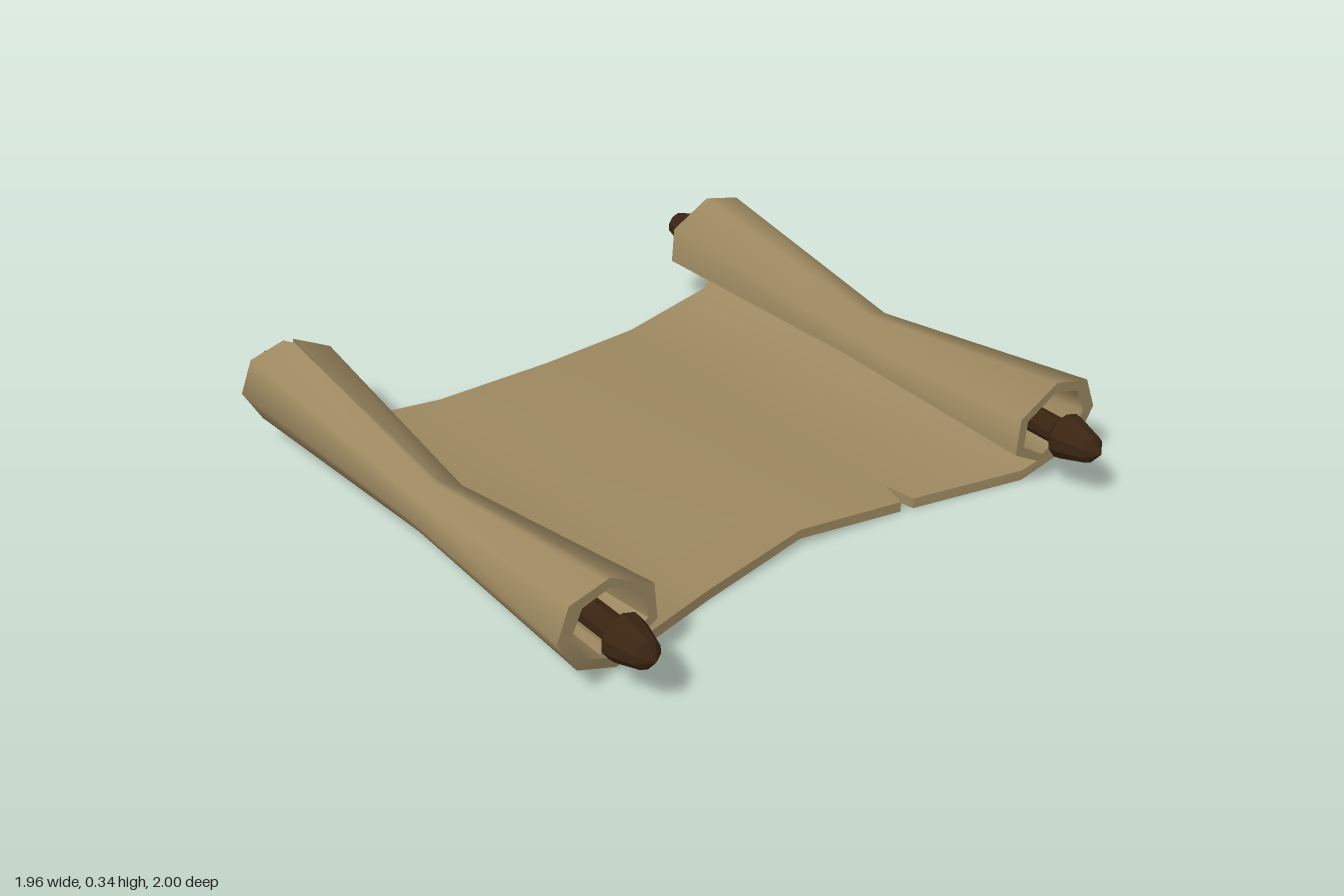
import * as THREE from 'three';
import { toCreasedNormals } from 'three/addons/utils/BufferGeometryUtils.js';

const parchmentMat = new THREE.MeshStandardMaterial({ color: 0x9c8860 });
parchmentMat.name = 'parchment';
const woodMat = new THREE.MeshStandardMaterial({ color: 0x3a2412, flatShading: true });
woodMat.name = 'darkWood';

// Half of the rolled sheet, from the loose end in the coil to the middle:
// outer x, outer y, inner x, inner y, half length in z
const HALF = [
  [0.845, 0.115, 0.83, 0.14, 0.81],
  [0.775, 0.085, 0.775, 0.113, 0.81],
  [0.66, 0.15, 0.69, 0.165, 0.81],
  [0.67, 0.265, 0.70, 0.25, 0.81],
  [0.81, 0.34, 0.81, 0.31, 0.81],
  [0.94, 0.307, 0.90, 0.283, 0.81],
  [0.98, 0.205, 0.935, 0.205, 0.81],
  [0.92, 0.10, 0.89, 0.12, 0.81],
  [0.755, 0.004, 0.755, 0.037, 0.755],
  [0.375, 0.004, 0.375, 0.037, 0.667],
];

// The rolls narrow towards the middle of their length
function pinch(x, y, side) {
  const k = 0.59;
  return [side * (0.815 + (x - 0.815) * k), 0.07 + (y - 0.07) * k];
}

function station([ox, oy, ix, iy, z], side, isRoll) {
  return {
    o: [side * ox, oy], i: [side * ix, iy],
    om: isRoll ? pinch(ox, oy, side) : [side * ox, oy],
    im: isRoll ? pinch(ix, iy, side) : [side * ix, iy],
    front: z, back: -z,
  };
}

function blend(a, b, t) {
  const mix = (p, q) => p.map((v, n) => v + (q[n] - v) * t);
  const num = (p, q) => p + (q - p) * t;
  return {
    o: mix(a.o, b.o), i: mix(a.i, b.i), om: mix(a.om, b.om), im: mix(a.im, b.im),
    front: num(a.front, b.front), back: num(a.back, b.back),
  };
}

function makeParchment() {
  const left = HALF.map((h, n) => station(h, -1, n < 8));
  const right = HALF.map((h, n) => station(h, 1, n < 8)).reverse();
  const centre = station([0, 0.03, 0, 0.06, 0.62], 1, false);

  // Small nick in the back end of one roll
  const nick = { ...left[4], back: -0.765 };
  left.splice(4, 1, blend(left[4], left[3], 0.12), nick, blend(left[4], left[5], 0.12));

  // Tear in the front edge of the sheet
  const tear = { ...right[0], front: 0.57 };
  const tearLeft = blend(right[0], centre, 0.07);
  const tearRight = blend(right[0], right[1], 0.045);
  right.splice(0, 1, tearLeft, tear, tearRight);

  const rows = [...left, centre, ...right].map((s) => ({
    top: [[...s.i, s.back], [...s.im, 0], [...s.i, s.front]],
    low: [[...s.o, s.back], [...s.om, 0], [...s.o, s.front]],
  }));

  const pos = [];
  const quad = (a, b, c, d) => pos.push(...a, ...b, ...c, ...a, ...c, ...d);
  for (let n = 0; n < rows.length - 1; n++) {
    const a = rows[n], b = rows[n + 1];
    for (let k = 0; k < 2; k++) {
      quad(a.top[k], a.top[k + 1], b.top[k + 1], b.top[k]);
      quad(a.low[k], b.low[k], b.low[k + 1], a.low[k + 1]);
    }
    quad(a.low[2], b.low[2], b.top[2], a.top[2]);
    quad(a.low[0], a.top[0], b.top[0], b.low[0]);
  }
  // Loose ends inside the coils
  const s = rows[0], e = rows[rows.length - 1];
  for (let k = 0; k < 2; k++) {
    quad(s.low[k], s.low[k + 1], s.top[k + 1], s.top[k]);
    quad(e.low[k], e.top[k], e.top[k + 1], e.low[k + 1]);
  }
  const geo = new THREE.BufferGeometry();
  geo.setAttribute('position', new THREE.Float32BufferAttribute(pos, 3));
  const mesh = new THREE.Mesh(toCreasedNormals(geo, 1.1), parchmentMat);
  mesh.name = 'parchmentSheet';
  return mesh;
}

// Turned rod with a pointed knob at each end, thinner inside the narrow roll
function makeRod(side) {
  const end = [[0.02, 0.3], [0.04, 0.7], [0.04, 0.83], [0.07, 0.858], [0.067, 0.88], [0.042, 0.965], [0, 1]];
  const profile = [
    ...end.map(([r, z]) => new THREE.Vector2(r, -z)).reverse(),
    ...end.map(([r, z]) => new THREE.Vector2(r, z)),
  ];
  const geo = new THREE.LatheGeometry(profile, 10);
  geo.rotateX(Math.PI / 2);
  const rod = new THREE.Mesh(geo, woodMat);
  rod.position.set(side * 0.81, 0.187, 0);
  rod.name = side > 0 ? 'leftRod' : 'rightRod';
  return rod;
}

export function createModel() {
  const model = new THREE.Group();
  model.name = 'openScroll';
  model.add(makeParchment(), makeRod(1), makeRod(-1));
  return model;
}
